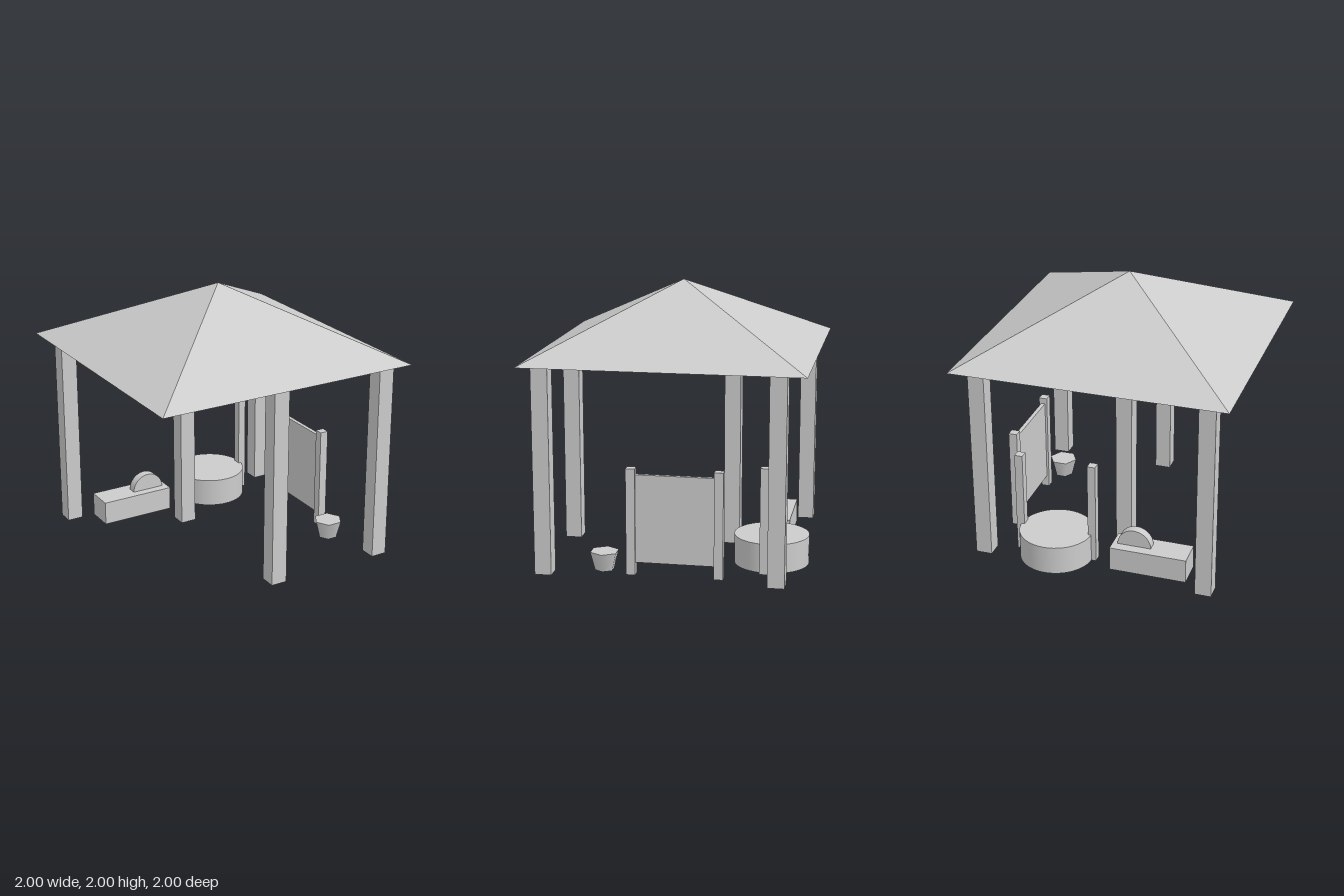
import * as THREE from 'three';

const grey = new THREE.MeshStandardMaterial({ color: 0xcccccc });
const flatGrey = new THREE.MeshStandardMaterial({ color: 0xcccccc, flatShading: true });

export function createModel() {
  const model = new THREE.Group();

  const add = (name, geometry, x, y, z, material = grey) => {
    const mesh = new THREE.Mesh(geometry, material);
    mesh.name = name;
    mesh.position.set(x, y, z);
    model.add(mesh);
    return mesh;
  };
  // Box standing on height y
  const box = (name, w, h, d, x, y, z) =>
    add(name, new THREE.BoxGeometry(w, h, d), x, y + h / 2, z);

  // Four-sided pyramid roof
  const roof = new THREE.ConeGeometry(Math.SQRT2, 0.5, 4).rotateY(Math.PI / 4);
  add('roof', roof, 0, 1.75, 0, flatGrey);

  // Roof posts
  const posts = [[0.85, 0.85], [-0.03, 0.85], [0.85, -0.8], [-0.83, -0.85], [-0.09, -0.36]];
  posts.forEach(([x, z], i) => box(`roofPost${i + 1}`, 0.12, 1.5, 0.12, x, 0, z));

  // Notice board between two stakes
  for (const [name, z] of [['boardStakeFront', 0.24], ['boardStakeBack', -0.385]]) {
    box(name, 0.063, 0.775, 0.065, 0.774, 0, z);
  }
  box('boardPanel', 0.03, 0.64, 0.56, 0.774, 0.09, -0.07);

  // Round well with a stake on each side
  add('wellDrum', new THREE.CylinderGeometry(0.271, 0.271, 0.213, 48), 0.334, 0.1065, -0.705);
  for (const [name, side] of [['wellStakeLeft', 1], ['wellStakeRight', -1]]) {
    box(name, 0.06, 0.775, 0.065, 0.334 + side * 0.276, 0, -0.685);
  }

  // Workbench with a half wheel set in its top
  box('bench', 0.57, 0.18, 0.21, -0.385, 0, -0.685);
  const half = new THREE.Shape();
  half.absarc(0, 0, 0.125, 0, Math.PI, false);
  half.closePath();
  const wheel = new THREE.ExtrudeGeometry(half, { depth: 0.07, bevelEnabled: false, curveSegments: 24 });
  add('halfWheel', wheel, -0.262, 0.181, -0.715);

  // Six-sided tapered bucket
  const bucket = new THREE.CylinderGeometry(0.107, 0.072, 0.135, 6).rotateY(Math.PI / 2);
  add('bucket', bucket, 0.707, 0.0675, 0.45);

  return model;
}
